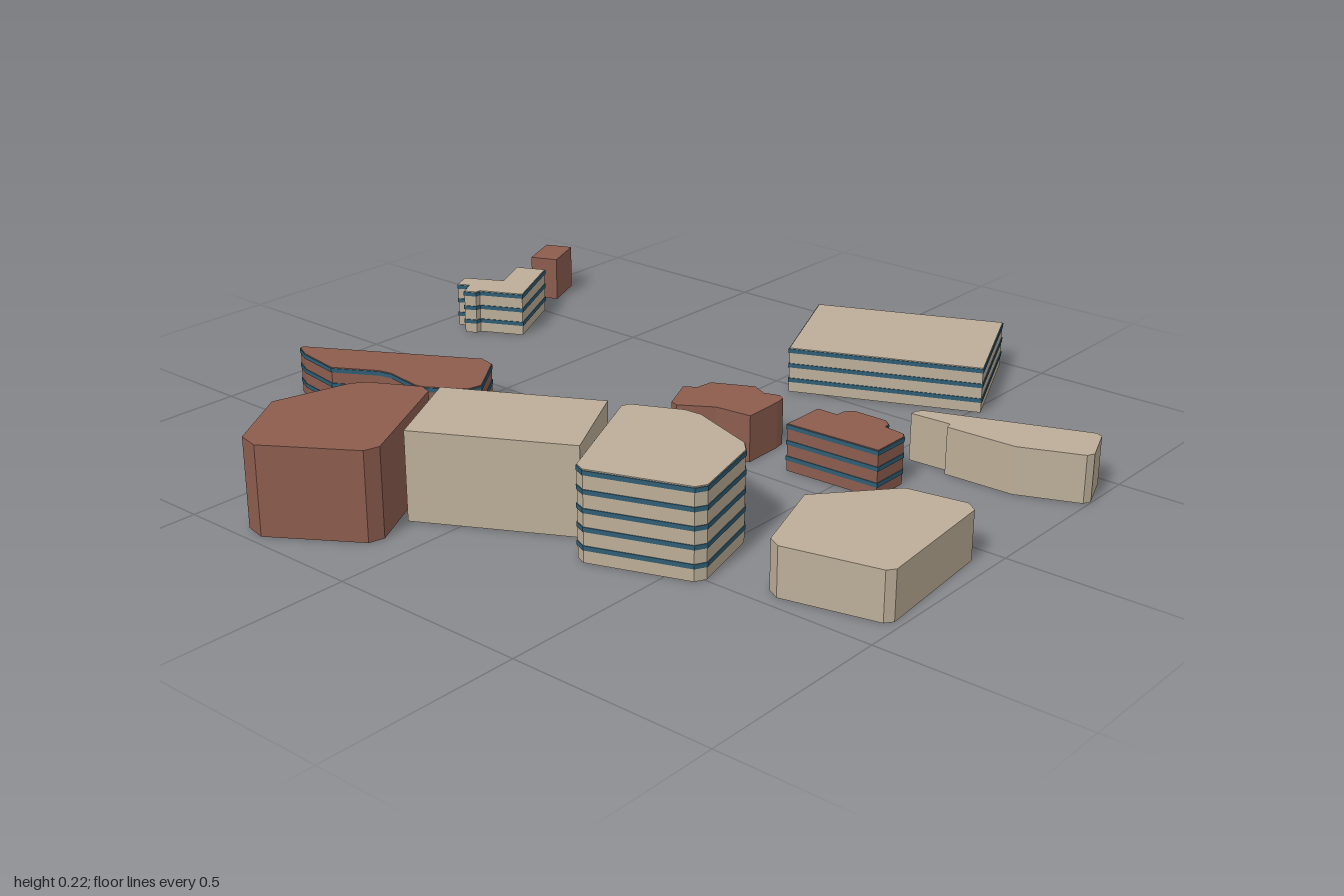
import * as THREE from 'three';

const TALL = 0.22, LOW = 0.12;
const tan = new THREE.MeshStandardMaterial({ color: 0xbcae98 });
const brown = new THREE.MeshStandardMaterial({ color: 0x8c5d4e });
const glass = new THREE.MeshStandardMaterial({ color: 0x2f5d73 });

// Outline from corners [x, z, cut], clockwise from above; cut bevels the corner.
// Shape y is -z.
function corners(...list) {
  const pts = list.map(([x, z]) => new THREE.Vector2(x, -z));
  return pts.flatMap((p, i) => {
    const cut = list[i][2];
    if (!cut) return [p];
    const toward = (q) => p.clone().addScaledVector(q.clone().sub(p).normalize(), cut);
    return [toward(pts.at(i - 1)), toward(pts[(i + 1) % pts.length])];
  });
}

// Rectangular outline, turned about its centre
function rectangle(x, z, w, d, turn) {
  const centre = new THREE.Vector2(x, -z);
  return corners([-w / 2, -d / 2], [w / 2, -d / 2], [w / 2, d / 2], [-w / 2, d / 2])
    .map((p) => p.rotateAround(new THREE.Vector2(), turn).add(centre));
}

// Pushes a clockwise outline outward by d with mitred corners
function offset(pts, d) {
  const normal = (a, b) => new THREE.Vector2(a.y - b.y, b.x - a.x).normalize();
  return pts.map((p, i) => {
    const n1 = normal(pts.at(i - 1), p), n2 = normal(p, pts[(i + 1) % pts.length]);
    return p.clone().addScaledVector(n1.clone().add(n2), d / Math.max(0.3, 1 + n1.dot(n2)));
  });
}

function extrude(parent, name, shape, h, y, mat) {
  const geo = new THREE.ExtrudeGeometry(shape, { depth: h, bevelEnabled: false });
  const mesh = new THREE.Mesh(geo.rotateX(-Math.PI / 2).translate(0, y, 0), mat);
  mesh.name = name;
  parent.add(mesh);
}

// One building: walls, and optionally a thin window band on every storey
function building(name, mat, h, floors, pts) {
  const group = new THREE.Group();
  group.name = name;
  extrude(group, 'walls', new THREE.Shape(pts), h, 0, mat);
  const ring = new THREE.Shape(offset(pts, 0.002));
  ring.holes.push(new THREE.Path(pts));
  for (let i = 0; i < floors; i++) {
    extrude(group, 'windowBand', ring, 0.011, (h / floors) * (i + 0.8) - 0.005, glass);
  }
  return group;
}

export function createModel() {
  const model = new THREE.Group();
  model.name = 'cityBlocks';

  // Tall row along the front
  model.add(building('tallBrownBlock', brown, TALL, 0, corners(
    [-.46, .79], [-.404, .578, .022], [-.248, .493, .024], [-.071, .827, .027], [-.33, .996, .04])));
  model.add(building('tallPlainBlock', tan, TALL, 0, rectangle(.003, .5, .398, .262, .497)));
  model.add(building('tallBandedBlock', tan, TALL, 5, corners(
    [.152, .278, .015], [.304, .206, .024], [.519, .282, .022], [.581, .514, .02], [.308, .613, .02])));

  // Low blocks on either side of the row
  model.add(building('lowCornerBlock', tan, LOW, 0, corners(
    [.63, .23], [.775, .06], [.948, .031, .026], [.982, .408, .016], [.712, .47, .025])));
  model.add(building('longBentBuilding', brown, LOW, 3, corners(
    [-.897, .349, .01], [-.45, .092, .03], [-.335, .258, .027], [-.46, .342, .015],
    [-.595, .322, .02], [-.72, .395], [-.845, .375])));

  // Small buildings in the middle
  model.add(building('notchedBuilding', brown, LOW, 0, corners(
    [.03, -.08], [.06, -.1], [.065, -.145], [.165, -.195], [.205, -.175], [.26, -.193, .015],
    [.267, -.15], [.27, -.04], [.175, -.03], [.08, .03, .017])));
  model.add(building('bayBuilding', brown, LOW, 3, corners(
    [.365, -.18], [.42, -.18], [.425, -.225, .017], [.543, -.225, .015], [.55, -.193],
    [.615, -.185, .012], [.615, -.07], [.365, -.06])));
  model.add(building('wedgeBuilding', tan, LOW, 0, corners(
    [.55, -.33, .012], [.955, -.485, .014], [1.003, -.358, .015], [.84, -.29], [.66, -.285],
    [.655, -.305], [.55, -.3])));

  // Back hall and the far right corner
  model.add(building('backHall', tan, LOW, 3, rectangle(.225, -.722, .497, .35, .414)));
  model.add(building('smallKiosk', brown, LOW, 0, rectangle(-.94, -.64, .077, .125, .4)));
  model.add(building('angledHouse', tan, LOW, 3, corners(
    [-.92, -.475], [-.845, -.51], [-.745, -.315], [-.855, -.26], [-.855, -.245], [-.885, -.23],
    [-.91, -.275], [-.94, -.26], [-.965, -.31], [-.865, -.365])));
  return model;
}
